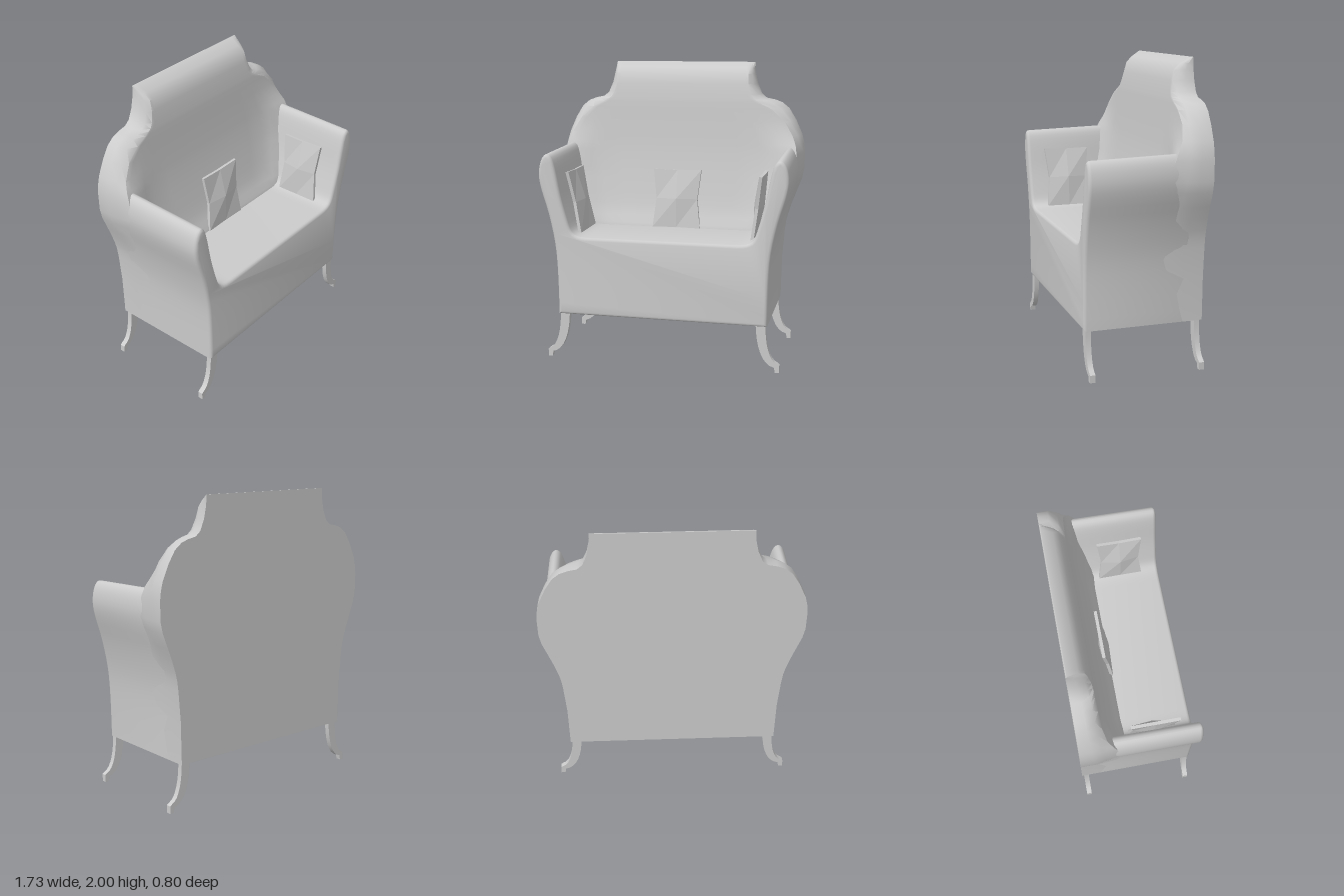
import * as THREE from 'three';
import { toCreasedNormals } from 'three/addons/utils/BufferGeometryUtils.js';

const grey = new THREE.MeshStandardMaterial({ color: 0xcccccc });
const greyFlat = new THREE.MeshStandardMaterial({ color: 0xcccccc, flatShading: true });

function addMesh(parent, name, geometry, material = grey) {
  const mesh = new THREE.Mesh(geometry, material);
  mesh.name = name;
  parent.add(mesh);
  return mesh;
}

// Seat box and both arms: one U-shaped front outline, extruded in depth
function seatAndArms() {
  const half = [
    [0.715, 0.31], [0.72, 0.6], [0.735, 0.8], [0.775, 1.0], [0.825, 1.17], [0.84, 1.27],
    [0.825, 1.36], [0.79, 1.405], [0.75, 1.385], [0.723, 1.3], [0.69, 1.13], [0.65, 0.98],
    [0.618, 0.89], [0.57, 0.857], [0.5, 0.85],
  ].map(([x, y]) => new THREE.Vector2(x, y));
  const right = new THREE.SplineCurve(half).getPoints(42);
  const left = right.map((p) => new THREE.Vector2(-p.x, p.y)).reverse();
  const bevel = 0.022;
  const geometry = new THREE.ExtrudeGeometry(new THREE.Shape([...right, ...left]), {
    depth: 0.66, steps: 1, bevelEnabled: true, bevelThickness: bevel,
    bevelSize: bevel, bevelOffset: -bevel, bevelSegments: 3,
  });
  geometry.translate(0, 0, -0.278);
  // Arm tops rise slightly towards the back
  const pos = geometry.attributes.position;
  for (let i = 0; i < pos.count; i++) {
    const lift = THREE.MathUtils.smoothstep(pos.getY(i), 1.1, 1.38);
    pos.setY(i, pos.getY(i) + lift * 0.03 * (0.4 - pos.getZ(i)));
  }
  return toCreasedNormals(geometry, 0.6);
}

// Winged back: horizontal cross-sections lofted from top to bottom
function winged() {
  const rear = -0.4;
  // height, rear half width, front half width, front depth
  const rows = [
    [2.0, 0.505, 0.49, -0.392], [1.96, 0.505, 0.475, -0.325], [1.92, 0.51, 0.47, -0.285],
    [1.85, 0.525, 0.475, -0.267], [1.78, 0.555, 0.495, -0.253], [1.75, 0.59, 0.515, -0.249],
    [1.738, 0.65, 0.535, -0.247], [1.72, 0.7, 0.565, -0.245], [1.68, 0.75, 0.645, -0.241],
    [1.6, 0.8, 0.735, -0.234], [1.5, 0.845, 0.795, -0.224], [1.44, 0.86, 0.82, -0.217],
    [1.38, 0.867, 0.83, -0.21], [1.25, 0.865, 0.835, -0.187], [1.18, 0.85, 0.815, -0.173],
    [1.08, 0.812, 0.78, -0.152], [1.0, 0.782, 0.765, -0.133], [0.92, 0.757, 0.745, -0.108],
    [0.87, 0.745, 0.735, -0.08], [0.8, 0.736, 0.73, -0.06], [0.6, 0.72, 0.715, -0.1],
    [0.31, 0.715, 0.71, -0.1],
  ];
  const spans = [1, 0.95, 0.87, 0.78, 0.68, 0.5];
  const sections = rows.map(([y, wb, wf, zf]) => {
    const fillet = THREE.MathUtils.smoothstep(y, 0.8, 0.95) * (1 - THREE.MathUtils.smoothstep(y, 1.36, 1.56));
    const half = [[wb, rear], [wb, rear + (zf - rear) * 0.45], [wf + (wb - wf) * 0.6, rear + (zf - rear) * 0.8]];
    for (const u of spans) {
      half.push([u * wf, zf + 0.055 * fillet * THREE.MathUtils.smoothstep(u, 0.66, 0.98)]);
    }
    const other = half.map(([x, z]) => [-x, z]).reverse();
    return [...half, ...other].map(([x, z]) => [x, y, z]);
  });

  const n = sections[0].length;
  const last = rows.length - 1;
  const index = [];
  for (let r = 0; r < last; r++) {
    for (let j = 0; j < n; j++) {
      const k = (j + 1) % n;
      const a = r * n + j, b = r * n + k, c = a + n, d = b + n;
      index.push(a, b, c, b, d, c);
    }
  }
  // Top and bottom caps
  for (let j = 1; j < n - 1; j++) {
    index.push(0, j + 1, j, last * n, last * n + j, last * n + j + 1);
  }
  const geometry = new THREE.BufferGeometry();
  geometry.setAttribute('position', new THREE.Float32BufferAttribute(sections.flat(2), 3));
  geometry.setIndex(index);
  return toCreasedNormals(geometry, 0.7);
}

// Sabre leg with a small turned-out foot
function legGeometry() {
  const shape = new THREE.Shape();
  shape.moveTo(0.64, 0.32);
  shape.bezierCurveTo(0.645, 0.18, 0.68, 0.05, 0.765, 0.035);
  shape.lineTo(0.772, 0);
  shape.lineTo(0.8, 0);
  shape.lineTo(0.8, 0.05);
  shape.lineTo(0.785, 0.062);
  shape.bezierCurveTo(0.73, 0.08, 0.705, 0.2, 0.705, 0.32);
  shape.closePath();
  const geometry = new THREE.ExtrudeGeometry(shape, { depth: 0.035, bevelEnabled: false, curveSegments: 8 });
  geometry.translate(0, 0, -0.0175);
  return toCreasedNormals(geometry, 0.6);
}

// Faceted cushion: thin rim, pinched sides, raised middle
function cushionGeometry(width, height, depth) {
  const geometry = new THREE.BoxGeometry(width, height, depth, 2, 2, 1);
  const pos = geometry.attributes.position;
  for (let i = 0; i < pos.count; i++) {
    const midX = Math.abs(pos.getX(i)) < 1e-4;
    const midY = Math.abs(pos.getY(i)) < 1e-4;
    if (!midX || !midY) pos.setZ(i, pos.getZ(i) * 0.3);
    if (midY) pos.setX(i, pos.getX(i) * 0.86);
    if (midX) pos.setY(i, pos.getY(i) * 0.98);
  }
  geometry.computeVertexNormals();
  return geometry;
}

export function createModel() {
  const model = new THREE.Group();
  model.name = 'wingBackSofa';

  addMesh(model, 'seatAndArms', seatAndArms());
  addMesh(model, 'wingedBack', winged());

  // Four legs, mirrored left and right
  const leg = legGeometry();
  for (const [end, z] of [['front', 0.372], ['back', -0.368]]) {
    addMesh(model, `${end}LeftLeg`, leg).position.z = z;
    const rightLeg = addMesh(model, `${end}RightLeg`, leg);
    rightLeg.rotation.y = Math.PI;
    rightLeg.position.z = z;
  }

  // Cushions: one against the back, one leaning on each arm
  const cushions = [
    ['backCushion', 0.34, 0.41, [0.003, 1.053, -0.1], 0, -0.12],
    ['rightCushion', 0.33, 0.43, [-0.632, 1.065, 0.125], Math.PI / 2, -0.2],
    ['leftCushion', 0.31, 0.43, [0.617, 1.07, 0.125], -Math.PI / 2, -0.12],
  ];
  for (const [name, w, h, at, turn, lean] of cushions) {
    const cushion = addMesh(model, name, cushionGeometry(w, h, 0.07), greyFlat);
    cushion.rotation.set(lean, turn, 0, 'YXZ');
    cushion.position.set(...at);
  }
  return model;
}
